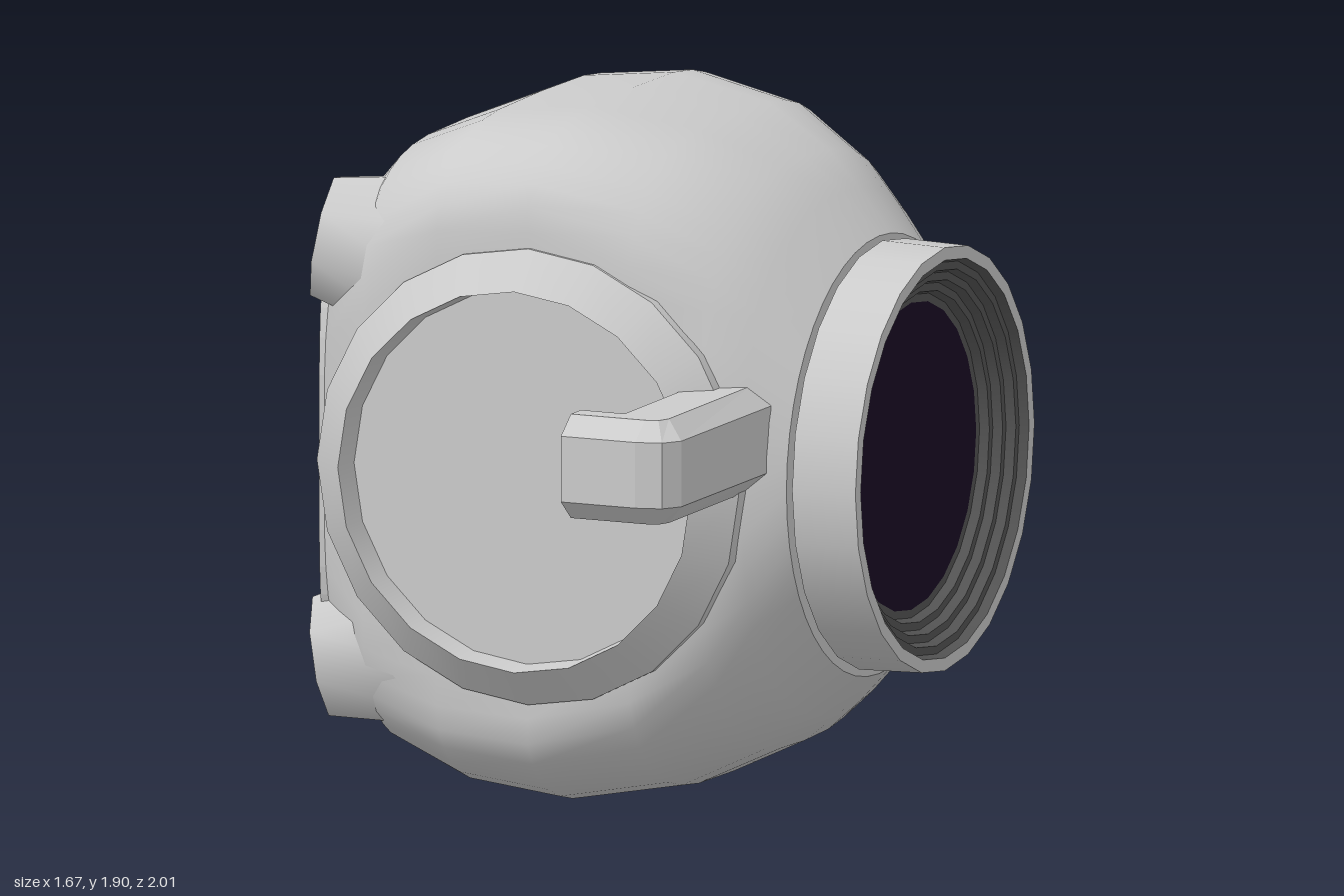
import * as THREE from 'three';

const CY = 0.95, CZ = -0.23; // main axis runs along x through this point

const paint = (color = 0xcccccc) => new THREE.MeshStandardMaterial({ color, side: THREE.DoubleSide });

function add(group, name, geometry, material = paint()) {
  const mesh = new THREE.Mesh(geometry, material);
  mesh.name = name;
  group.add(mesh);
  return mesh;
}

// Skin a list of equal-length point loops and close both ends
function loft(rings) {
  const n = rings[0].length, pos = [], idx = [];
  const push = (p) => pos.push(p[0], p[1], p[2]) / 3 - 1;
  rings.forEach((r) => r.forEach(push));
  for (let i = 0; i < rings.length - 1; i++) {
    for (let j = 0; j < n; j++) {
      const k = (j + 1) % n, a = i * n, b = a + n;
      idx.push(a + j, a + k, b + j, a + k, b + k, b + j);
    }
  }
  [rings[0], rings[rings.length - 1]].forEach((ring, end) => {
    const c = push([0, 1, 2].map((q) => ring.reduce((s, p) => s + p[q], 0) / n));
    const first = c + 1;
    ring.forEach(push);
    for (let j = 0; j < n; j++) {
      const k = (j + 1) % n;
      if (end) idx.push(c, first + j, first + k);
      else idx.push(c, first + k, first + j);
    }
  });
  const g = new THREE.BufferGeometry();
  g.setAttribute('position', new THREE.Float32BufferAttribute(pos, 3));
  g.setIndex(idx);
  g.computeVertexNormals();
  return g;
}

// Rounded-square outline as [z, y] offsets from the axis
function roundedSquare(hy, hz, n, count = 48) {
  const pow = (v) => Math.sign(v) * Math.abs(v) ** (2 / n);
  return Array.from({ length: count }, (_, i) => {
    const t = (i / count) * Math.PI * 2;
    return [hz * pow(Math.cos(t)), hy * pow(Math.sin(t))];
  });
}

// Turned part; one lathe per profile segment keeps every edge sharp
function turn(group, name, profile, sides, color) {
  for (let i = 0; i < profile.length - 1; i++) {
    const pts = [profile[i], profile[i + 1]].map((p) => new THREE.Vector2(...p));
    add(group, name, new THREE.LatheGeometry(pts, sides), paint(color));
  }
}

// Flat disc facing along the turning axis
function disc(radius, sides, height) {
  return new THREE.CircleGeometry(radius, sides).rotateX(-Math.PI / 2).translate(0, height, 0);
}

export function createModel() {
  const group = new THREE.Group();

  // Body: round at the lens end, squarish in the middle, flattened in front
  const sections = [ // x, half height, half depth, squareness
    [0.64, 0.6, 0.6, 2],
    [0.53, 0.71, 0.65, 2.3],
    [0.42, 0.8, 0.69, 2.7],
    [0.21, 0.9, 0.745, 3.4],
    [-0.09, 0.95, 0.775, 3.9],
    [-0.36, 0.92, 0.75, 4],
    [-0.58, 0.83, 0.7, 4],
    [-0.73, 0.68, 0.6, 3.5],
    [-0.68, 0.55, 0.58, 3.5], // floor of the recess
  ];
  add(group, 'body', loft(sections.map(([x, hy, hz, n]) =>
    roundedSquare(hy, hz, n).map(([z, y]) => [x, CY + y, Math.min(CZ + z, 0.45)]))));

  // Domed end plate with a recess that narrows to a slot
  const plate = new THREE.Shape(roundedSquare(0.68, 0.6, 3.5).map((p) => new THREE.Vector2(...p)));
  const recess = [[-0.56, 0.36], [-0.35, 0.36], [-0.15, 0.36], [0.08, 0.36], [0.28, 0.14], [0.5, 0.13]];
  const mirrored = recess.map(([z, y]) => [z, -y]).reverse();
  plate.holes.push(new THREE.Path([...recess, ...mirrored].map((p) => new THREE.Vector2(...p))));
  const plateGeo = new THREE.ExtrudeGeometry(plate, { depth: 0.1, bevelEnabled: false });
  plateGeo.rotateY(-Math.PI / 2);
  const pp = plateGeo.attributes.position;
  for (let i = 0; i < pp.count; i++) {
    const y = pp.getY(i), z = pp.getZ(i);
    const edge = Math.max(0, Math.abs(y) - 0.42);
    pp.setX(i, pp.getX(i) < -0.05 ? Math.min(-0.735, -0.835 + 0.25 * z * z + 1.5 * edge * edge) : -0.68);
  }
  plateGeo.translate(0, CY, CZ);
  plateGeo.computeVertexNormals();
  add(group, 'recessedEndPlate', plateGeo);

  // Four octagonal lugs around the end plate
  const up = new THREE.Vector3(0, 1, 0);
  for (const sy of [1, -1]) {
    for (const sz of [1, -1]) {
      const tip = new THREE.Vector3(-0.77, CY + sy * 0.575, CZ + sz * 0.5);
      const base = new THREE.Vector3(-0.35, CY + sy * 0.5, CZ + sz * 0.4);
      const axis = tip.clone().sub(base);
      const lug = add(group, 'cornerLug', new THREE.CylinderGeometry(0.175, 0.28, axis.length(), 8));
      lug.position.copy(tip).add(base).multiplyScalar(0.5);
      lug.quaternion.setFromUnitVectors(up, axis.normalize());
    }
  }

  // Front cover: bevelled rim around a sunken disc
  const cover = new THREE.Group();
  cover.name = 'frontCover';
  cover.position.set(-0.085, CY, 0);
  cover.rotation.x = Math.PI / 2;
  group.add(cover);
  turn(cover, 'coverRim', [[0.625, 0.36], [0.625, 0.46], [0.522, 0.55], [0.512, 0.46]], 20);
  add(cover, 'coverDisc', disc(0.516, 20, 0.465));

  // L-shaped handle, chamfered on its outer side
  const handle = [ // inner, middle and outer [x, z] at each station
    [[0.39, 0.36], [0.53, 0.36], [0.59, 0.36]],
    [[0.39, 0.87], [0.53, 0.89], [0.585, 0.93]],
    [[0.39, 0.87], [0.515, 0.925], [0.55, 0.98]],
    [[0.39, 0.87], [0.48, 0.935], [0.48, 1.0]],
    [[0.26, 0.87], [0.26, 0.935], [0.26, 1.0]],
  ].map(([a, b, c]) => [[c, 1.0], [c, 1.18], [b, 1.23], [a, 1.23], [a, 0.945], [b, 0.945]]
    .map(([p, y]) => [p[0], y, p[1]]));
  const handleGeo = loft(handle).toNonIndexed();
  handleGeo.computeVertexNormals();
  add(group, 'handle', handleGeo);

  // Lens: collar, stepped inner rings and dark glass, turned around x
  const lens = new THREE.Group();
  lens.name = 'lens';
  lens.position.set(0, CY + 0.003, CZ);
  lens.rotation.z = -Math.PI / 2;
  group.add(lens);
  turn(lens, 'lensCollar', [[0, 0.65], [0.585, 0.65], [0.58, 0.835], [0.545, 0.835]], 24);
  const steps = [[0.545, 0.835]];
  for (let i = 0; i < 4; i++) {
    const r = 0.545 - i * 0.031, x = 0.835 - (i + 1) * 0.025;
    steps.push([r - 0.009, x], [r - 0.031, x]);
  }
  turn(lens, 'lensInnerRings', steps, 24, 0x555555);
  add(lens, 'lensGlass', disc(0.425, 24, 0.734), paint(0x1a0d25));

  return group;
}
